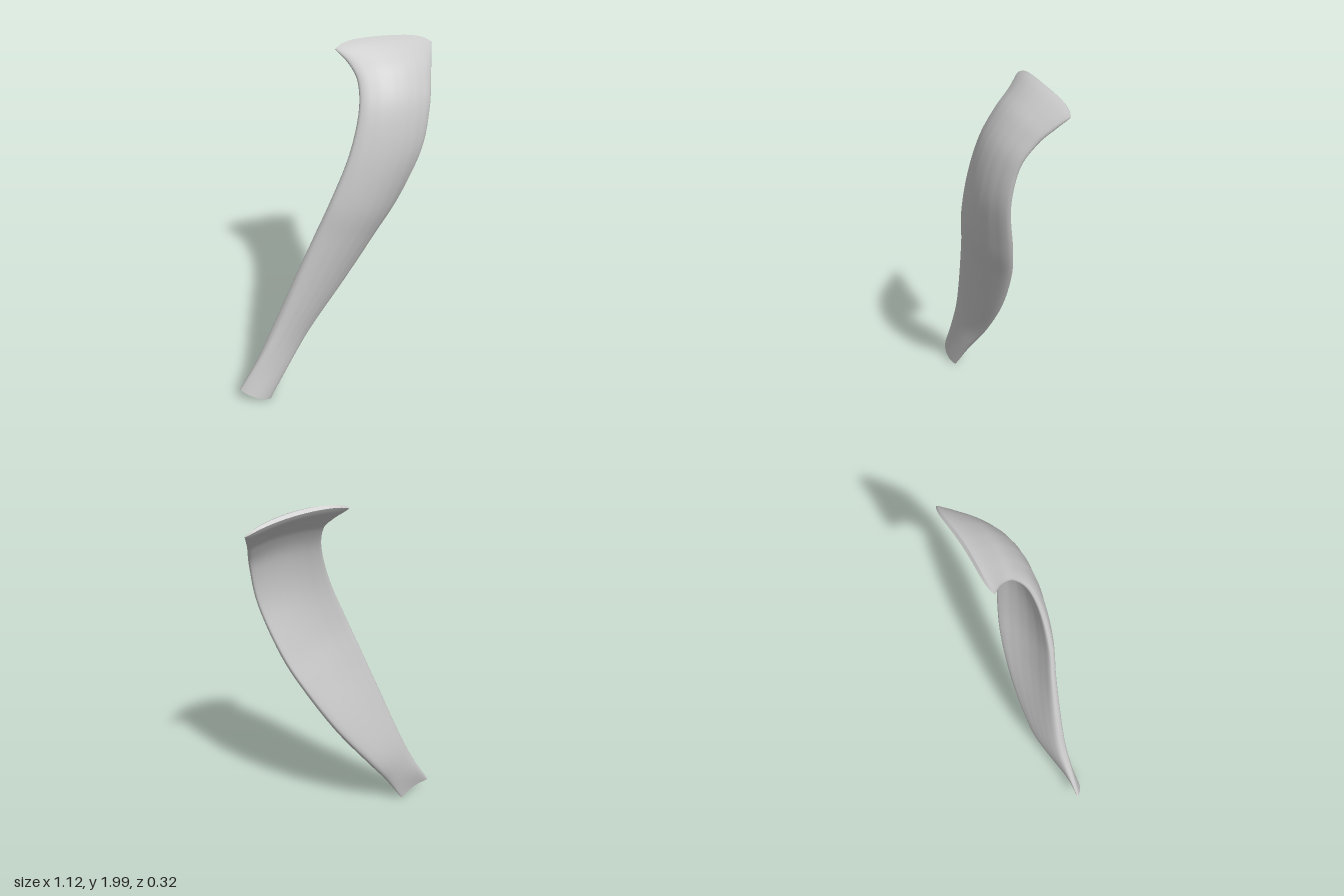
import * as THREE from 'three';

// Stations from lower end to flared top: left-hand edge xyz, right-hand edge xyz,
// forward bow, half thickness, lengthwise extension of the middle
const STATIONS = [
  [-0.562, 0.10, 0.022, -0.395, 0.003, 0.045, 0.027, 0.017, 0],
  [-0.44, 0.31, 0.026, -0.270, 0.20, 0.005, 0.007, 0.036, 0],
  [-0.34, 0.52, 0.030, -0.130, 0.40, -0.043, 0.010, 0.047, 0],
  [-0.23, 0.80, 0.050, 0.075, 0.69, -0.050, 0.024, 0.047, 0],
  [-0.13, 1.06, 0.075, 0.245, 0.98, -0.027, 0.042, 0.042, 0],
  [-0.05, 1.27, 0.100, 0.350, 1.20, 0.015, 0.047, 0.040, 0],
  [0.04, 1.50, 0.100, 0.435, 1.47, 0.067, 0.038, 0.033, 0],
  [0.10, 1.70, 0.065, 0.475, 1.68, 0.045, 0.037, 0.029, 0],
  [0.12, 1.83, 0.000, 0.505, 1.80, -0.025, 0.038, 0.027, 0],
  [0.10, 1.90, -0.070, 0.535, 1.868, -0.092, 0.036, 0.025, 0.006],
  [0.052, 1.955, -0.132, 0.560, 1.918, -0.148, 0.030, 0.019, 0.033],
];
const ROWS = 60;
const AROUND = 48;

function spline(pick) {
  return new THREE.CatmullRomCurve3(STATIONS.map((s) => new THREE.Vector3(...pick(s))), false, 'catmullrom', 0.5);
}

// Closed cross-sections, bowed forward with blunt rounded edges
function buildRings() {
  const left = spline((s) => s.slice(0, 3));
  const right = spline((s) => s.slice(3, 6));
  const form = spline((s) => s.slice(6, 9));
  const rings = [];
  for (let i = 0; i <= ROWS; i++) {
    const t = i / ROWS;
    const l = left.getPoint(t), r = right.getPoint(t), f = form.getPoint(t);
    const chord = r.clone().sub(l);
    const along = left.getTangent(t).add(right.getTangent(t)).normalize();
    const normal = chord.clone().cross(along).normalize();
    // the top rim closes over the last few rows
    const rim = Math.sqrt(1 - Math.pow(Math.max(0, (t - 0.95) / 0.05), 2) * 0.75);
    const ring = [];
    for (let j = 0; j < AROUND; j++) {
      const a = (j / AROUND) * Math.PI * 2;
      const s = -Math.cos(a), side = Math.sin(a);
      const bow = f.x * (1 - s * s);
      const depth = f.y * rim * Math.sign(side) * Math.pow(Math.abs(side), 0.68);
      // faint lengthwise fibres, strongest on the front
      const fibre = (side > 0 ? 0.002 : 0.0008) * Math.sin(s * 19 + t * 7) * Math.sin(t * Math.PI) * Math.abs(side);
      ring.push(l.clone().addScaledVector(chord, (s + 1) / 2)
        .addScaledVector(normal, bow + depth + fibre)
        .addScaledVector(along, f.z * (1 - s ** 6)));
    }
    rings.push(ring);
  }
  return rings;
}

function makeGeometry(points, index) {
  const g = new THREE.BufferGeometry().setFromPoints(points);
  g.setIndex(index);
  g.computeVertexNormals();
  return g;
}

function bodyGeometry(rings) {
  const index = [];
  for (let i = 0; i < ROWS; i++) {
    for (let j = 0; j < AROUND; j++) {
      const k = (j + 1) % AROUND;
      const a = i * AROUND + j, b = i * AROUND + k;
      index.push(a, b, b + AROUND, a, b + AROUND, a + AROUND);
    }
  }
  return makeGeometry(rings.flat(), index);
}

// End cap stitched between the front and back of a ring so it follows the bow
function capGeometry(ring, facesUp) {
  const index = [];
  const tri = (a, b, c) => index.push(a, facesUp ? b : c, facesUp ? c : b);
  for (let j = 0; j < AROUND / 2; j++) {
    const p = (AROUND - j) % AROUND, q = AROUND - j - 1;
    if (j + 1 < AROUND / 2) tri(j, j + 1, q);
    if (j > 0) tri(j, q, p);
  }
  return makeGeometry(ring, index);
}

export function createModel() {
  const group = new THREE.Group();
  group.name = 'curvedMuscleStrip';
  const grey = new THREE.MeshStandardMaterial({ color: 0xcacaca });
  grey.name = 'light grey';
  const rings = buildRings();
  const add = (name, geometry) => {
    const mesh = new THREE.Mesh(geometry, grey);
    mesh.name = name;
    group.add(mesh);
  };
  add('strapBody', bodyGeometry(rings));
  add('lowerEnd', capGeometry(rings[0], false));
  add('upperRim', capGeometry(rings[ROWS], true));
  return group;
}
